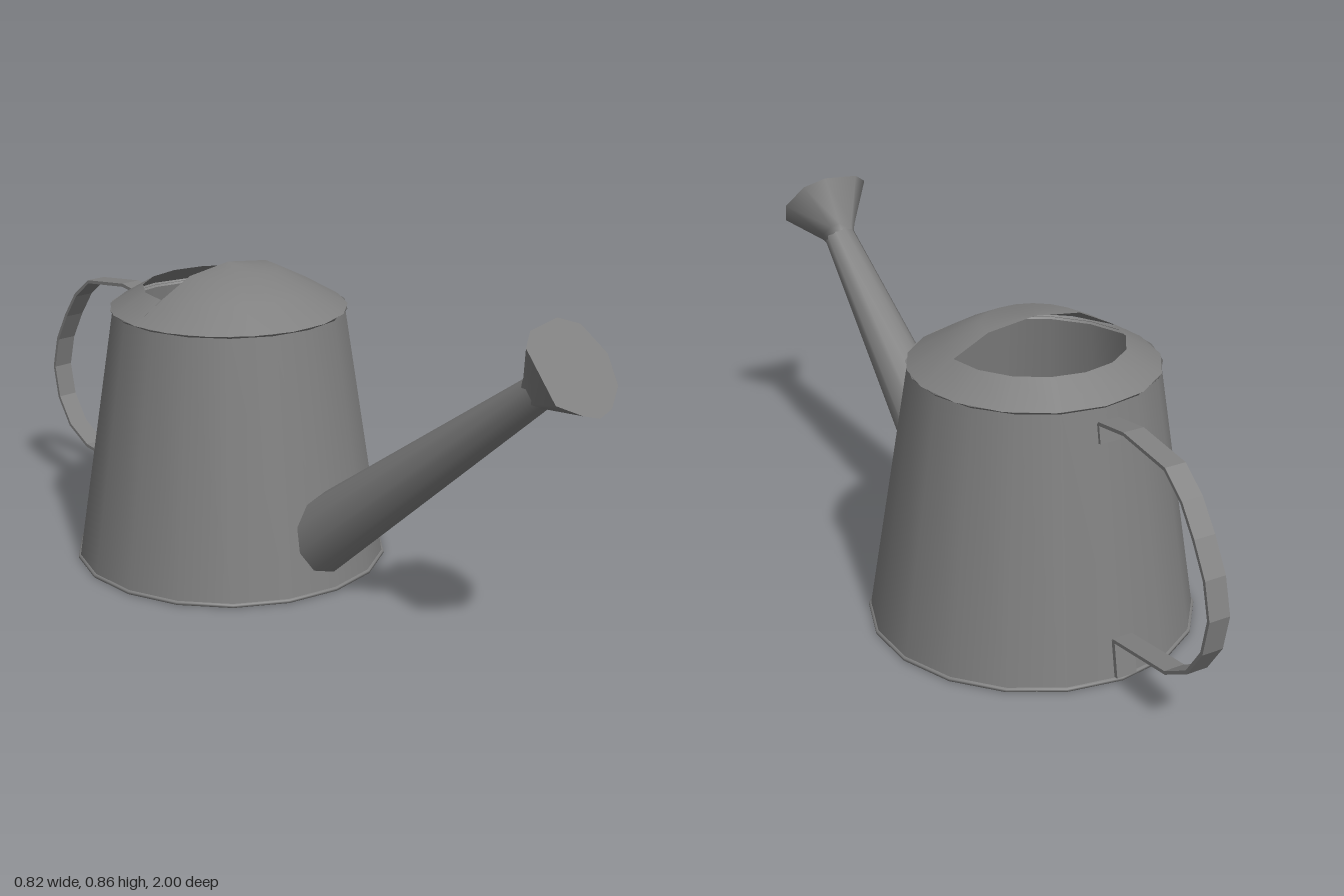
import * as THREE from 'three';

const metal = new THREE.MeshStandardMaterial({ color: 0x808080, side: THREE.DoubleSide });
metal.name = 'grey metal';

const CENTER_Z = -0.23;   // axis of the can
const TILT = 0.685;       // upward tilt of the spout's end and rose

const v2 = (list) => list.map(([x, y]) => new THREE.Vector2(x, y));

function part(name, geometry) {
  const mesh = new THREE.Mesh(geometry, metal);
  mesh.name = name;
  return mesh;
}

// Lathe around the can's axis
function turned(name, profile, segments, start = 0, sweep = Math.PI * 2) {
  const mesh = part(name, new THREE.LatheGeometry(v2(profile), segments, start, sweep));
  mesh.position.z = CENTER_Z;
  return mesh;
}

// Smooth skin through closed rings that run counter-clockwise seen from the front
function loft(rings) {
  const n = rings[0].length;
  const index = [];
  for (let i = 0; i < rings.length - 1; i++) {
    for (let j = 0; j < n; j++) {
      const a = i * n + j, b = i * n + (j + 1) % n;
      index.push(a, b, a + n, b, b + n, a + n);
    }
  }
  const geometry = new THREE.BufferGeometry();
  geometry.setFromPoints(rings.flat());
  geometry.setIndex(index);
  geometry.computeVertexNormals();
  return geometry;
}

// Place a flat point (u, v) on a tilted plane centred at (0, y, z)
const tilted = (u, v, y, z) =>
  new THREE.Vector3(u, y + v * Math.cos(TILT), z - v * Math.sin(TILT));

// Front surface of the tapered can
function canFront(x, y) {
  const r = 0.413 - 0.155 * y;
  return CENTER_Z + Math.sqrt(r * r - x * x) - 0.008;
}

// Flat strap following a path of [z, y] points, with constant thickness
function strap(name, path, width, thickness) {
  const pts = v2(path);
  const sides = [1, -1].map((s) => pts.map((p, i) => {
    const a = pts[Math.max(i - 1, 0)], b = pts[Math.min(i + 1, pts.length - 1)];
    const d = b.clone().sub(a).normalize();
    return new THREE.Vector2(p.x - d.y * s * thickness / 2, p.y + d.x * s * thickness / 2);
  }));
  const shape = new THREE.Shape([...sides[0], ...sides[1].reverse()]);
  const geometry = new THREE.ExtrudeGeometry(shape, { depth: width, bevelEnabled: false });
  geometry.rotateY(-Math.PI / 2).translate(width / 2 - 0.002, 0, 0);
  return part(name, geometry);
}

export function createModel() {
  const can = new THREE.Group();
  can.name = 'wateringCan';

  // Tapered body, base lip and floor
  can.add(turned('body', [[0.413, 0.008], [0.308, 0.68]], 18));
  can.add(turned('baseLip', [[0.408, 0.002], [0.418, 0.003], [0.418, 0.01], [0.412, 0.012]], 18));
  const floor = part('floor', new THREE.CircleGeometry(0.412, 18).rotateX(Math.PI / 2));
  floor.position.set(0, 0.004, CENTER_Z);
  can.add(floor);

  // Top: full dome over the front half, open ring over the back half
  can.add(turned('topLip', [[0.304, 0.674], [0.313, 0.684]], 18));
  can.add(turned('frontDome',
    [[0.313, 0.684], [0.22, 0.738], [0.13, 0.783], [0, 0.8]], 9, -Math.PI / 2, Math.PI));
  can.add(turned('backRim', [[0.313, 0.684], [0.225, 0.736]], 8, Math.PI / 2, Math.PI));

  // Spout, its wide end fitted to the body
  const base = [], tip = [];
  for (let i = 0; i < 10; i++) {
    const a = -Math.PI / 2 + i * Math.PI / 5;
    const x = 0.099 * Math.cos(a), y = 0.152 + 0.107 * Math.sin(a);
    base.push(new THREE.Vector3(x, y, canFront(x, y)));
    tip.push(tilted(0.043 * Math.cos(a), 0.043 * Math.sin(a), 0.695, 0.832));
  }
  can.add(part('spout', loft([base, tip])));

  // Sprinkler rose: flared cone closed by a flat, slightly uneven plate
  const outline = [[0.125, 0.007], [0.09, 0.09], [0.03, 0.118], [-0.07, 0.105], [-0.108, 0.07],
    [-0.108, -0.07], [-0.045, -0.11], [0, -0.127], [0.05, -0.115], [0.105, -0.07]];
  const neckRing = (r, y, z) => outline.map(([u, v]) => {
    const a = Math.atan2(v, u);
    return tilted(r * Math.cos(a), r * Math.sin(a), y, z);
  });
  const rim = outline.map(([u, v]) => tilted(u, v, 0.77, 0.92));
  can.add(part('roseCone', loft([
    neckRing(0.042, 0.688, 0.82), neckRing(0.05, 0.7, 0.833), rim])));
  const plate = part('rosePlate', new THREE.ShapeGeometry(new THREE.Shape(v2(outline))));
  plate.rotation.x = -TILT;
  plate.position.set(0, 0.77, 0.92);
  can.add(plate);

  // Strap handle with a fixing tab at each end
  can.add(strap('handle', [[-0.55, 0.648], [-0.65, 0.662], [-0.81, 0.642], [-0.875, 0.59],
    [-0.925, 0.52], [-0.97, 0.44], [-0.993, 0.35], [-0.975, 0.26], [-0.925, 0.185],
    [-0.845, 0.14], [-0.635, 0.115]], 0.056, 0.009));
  can.add(strap('upperTab', [[-0.549, 0.648], [-0.558, 0.6]], 0.056, 0.008));
  can.add(strap('lowerTab', [[-0.638, 0.115], [-0.655, 0.022]], 0.056, 0.012));

  return can;
}
